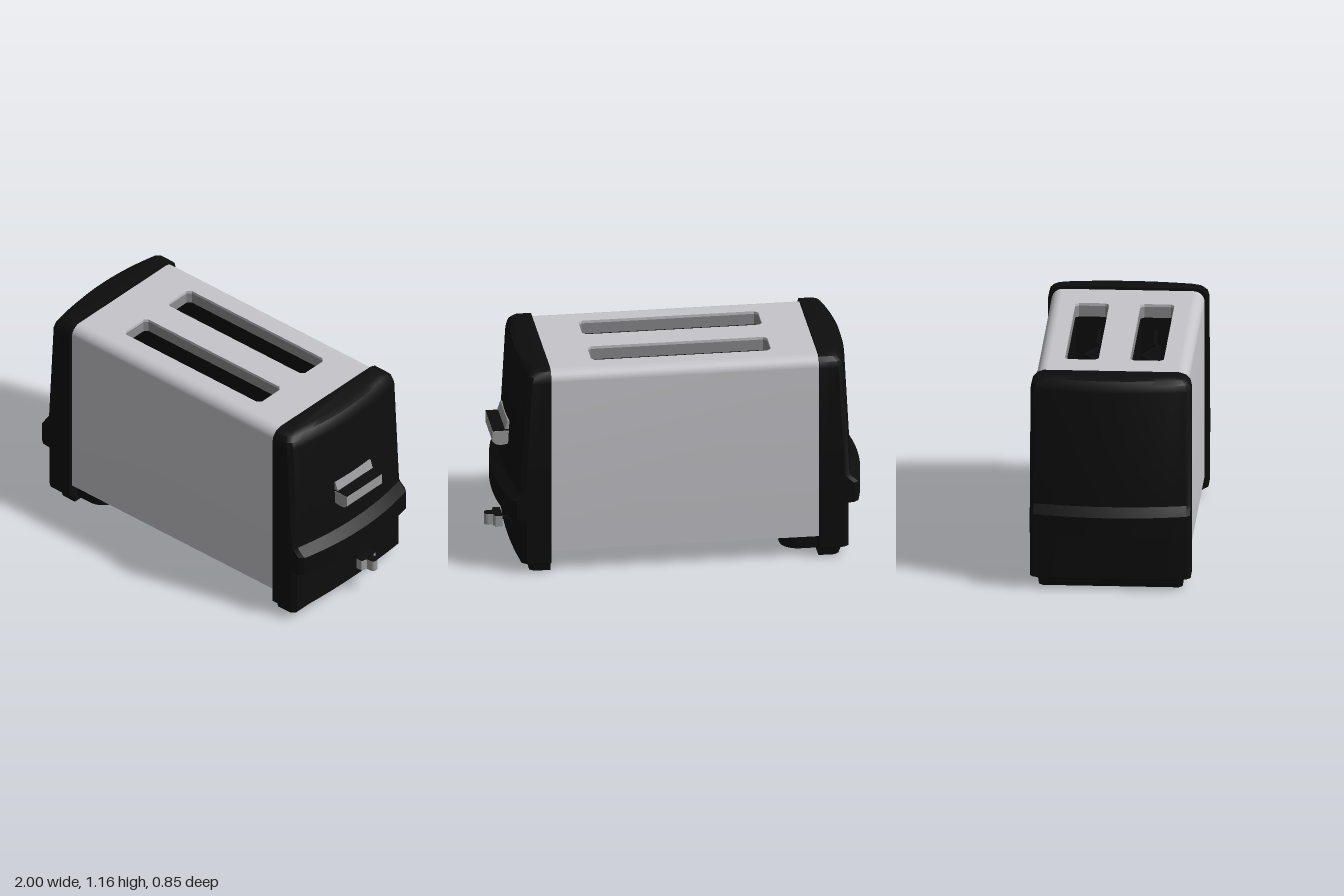
import * as THREE from 'three';
import { toCreasedNormals } from 'three/addons/utils/BufferGeometryUtils.js';

const mat = (name, color) => {
  const m = new THREE.MeshStandardMaterial({ color });
  m.name = name;
  return m;
};

export function createModel() {
  const model = new THREE.Group();
  model.name = 'toaster';
  const metal = mat('brushed metal', 0xc6c5ca);
  const grey = mat('inner grey', 0x8c8c8e);
  const trim = mat('control grey', 0x9a9a9c);
  const black = mat('black plastic', 0x0d0d0d);
  const CX = -0.025, LEN = 1.43;

  const add = (name, geo, material, parent = model) => {
    const mesh = new THREE.Mesh(geo, material);
    mesh.name = name;
    parent.add(mesh);
    return mesh;
  };
  // box given by its limits
  const box = (name, x0, x1, y0, y1, z0, z1, material, parent) => {
    const m = add(name, new THREE.BoxGeometry(x1 - x0, y1 - y0, z1 - z0), material, parent);
    m.position.set((x0 + x1) / 2, (y0 + y1) / 2, (z0 + z1) / 2);
    return m;
  };
  const extrude = (shape, depth) =>
    new THREE.ExtrudeGeometry(shape, { depth, bevelEnabled: false, curveSegments: 10 });
  const poly = (pts) => new THREE.Shape(pts.map(([x, y]) => new THREE.Vector2(x, y)));
  // shape drawn in (x, z), rising from y0 to y1
  const slab = (name, shape, y0, y1, material, parent) => {
    const g = extrude(shape, y1 - y0);
    g.rotateX(Math.PI / 2);
    g.translate(0, y1, 0);
    return add(name, toCreasedNormals(g, 0.6), material, parent);
  };

  // Metal side walls with rounded upper edge
  const wall = new THREE.Shape();
  wall.moveTo(0.405, 0.12);
  wall.lineTo(0.405, 1.085);
  wall.absarc(0.345, 1.085, 0.06, 0, Math.PI / 2, false);
  wall.lineTo(0.345, 1.13);
  wall.lineTo(0.39, 1.08);
  wall.lineTo(0.39, 0.12);
  for (const s of [1, -1]) {
    const g = extrude(wall, LEN);
    g.translate(0, 0, -LEN / 2);
    g.rotateY(s * Math.PI / 2);
    add('sideWall', toCreasedNormals(g, 0.6), metal).position.x = CX;
  }

  // Top plate with two chamfered bread slots
  const rect = (x0, x1, z0, z1) => poly([[x0, z0], [x1, z0], [x1, z1], [x0, z1]]);
  const slot = (z0, z1, c) => poly([
    [-0.505 + c, z0], [0.455 - c, z0], [0.455, z0 + c], [0.455, z1 - c],
    [0.455 - c, z1], [-0.505 + c, z1], [-0.505, z1 - c], [-0.505, z0 + c]]);
  const slots = [[-0.265, -0.085], [0.08, 0.26]];
  const top = rect(-0.74, 0.69, -0.345, 0.345);
  slots.forEach(([a, b]) => top.holes.push(slot(a, b, 0.02)));
  slab('topPlate', top, 1.13, 1.145, metal);

  // Slot lips, inner cage walls and corrugated guards
  const zigzag = [[-0.505, -0.1], [-0.46, -0.098], [-0.4, -0.075], [-0.26, -0.172], [-0.11, -0.092],
    [0.035, -0.185], [0.19, -0.108], [0.235, -0.13], [0.455, -0.138]];
  slots.forEach(([a, b], i) => {
    const lip = rect(-0.53, 0.48, a - 0.02, b + 0.02);
    lip.holes.push(slot(a, b, 0.02));
    slab('slotLip', lip, 1.07, 1.13, grey);
    for (const z of [a - 0.02, b + 0.01]) box('cageWall', -0.73, 0.68, 0.14, 1.07, z, z + 0.01, black);
    for (let k = 1; k < zigzag.length; k++) {
      const [x0, z0] = zigzag[k - 1], [x1, z1] = zigzag[k];
      const d = Math.hypot(x1 - x0, z1 - z0);
      const g = add('breadGuard', new THREE.BoxGeometry(d + 0.012, 0.8, 0.018), black);
      g.position.set((x0 + x1) / 2, 0.6, (z0 + z1) / 2 + (i ? 0.3 : 0));
      g.rotation.y = -Math.atan2(z1 - z0, x1 - x0);
    }
  });
  box('bottomPanel', -0.74, 0.69, 0.12, 0.132, -0.395, 0.395, grey);

  // End caps: stacked cross-sections [y, outer x, half width, bow]
  const rows = [
    [0, 0.825, 0.38, 0], [0.035, 0.835, 0.385, 0], [0.048, 0.85, 0.4, 0.01], [0.06, 0.892, 0.425, 0.02],
    [0.31, 0.892, 0.425, 0.02], [0.315, 0.975, 0.425, 0.05], [0.425, 0.975, 0.425, 0.05],
    [0.445, 0.95, 0.425, 0.05], [0.47, 0.922, 0.425, 0.045], [1.09, 0.888, 0.425, 0.045],
    [1.125, 0.878, 0.416, 0.045], [1.148, 0.86, 0.395, 0.045], [1.16, 0.825, 0.36, 0.03]];
  const pos = [], idx = [];
  const N = 12, ring = N + 5;
  for (const [y, xo, zh, bow] of rows) {
    pos.push(0.715, y, -zh, xo - bow - 0.025, y, -zh);
    for (let j = 0; j <= N; j++) {
      const t = (j / N) * 2 - 1;
      pos.push(xo - bow * t * t, y, (zh - 0.02) * t);
    }
    pos.push(xo - bow - 0.025, y, zh, 0.715, y, zh);
  }
  for (let i = 0; i < rows.length - 1; i++) {
    for (let j = 0; j < ring; j++) {
      const a = i * ring + j, b = i * ring + ((j + 1) % ring);
      idx.push(a, a + ring, b, b, a + ring, b + ring);
    }
  }
  const last = (rows.length - 1) * ring;
  for (let j = 1; j < ring - 1; j++) idx.push(0, j, j + 1, last, last + j + 1, last + j);
  const raw = new THREE.BufferGeometry();
  raw.setAttribute('position', new THREE.Float32BufferAttribute(pos, 3));
  raw.setIndex(idx);
  const capGeo = toCreasedNormals(raw, 0.5);
  for (const [name, turn] of [['rightEndCap', 0], ['leftEndCap', Math.PI]]) {
    const cap = add(name, capGeo, black);
    cap.position.x = CX;
    cap.rotation.y = turn;
  }

  // Lever with its track on the +x end
  const lever = new THREE.Group();
  lever.name = 'lever';
  model.add(lever);
  const handle = extrude(poly([[0.86, 0.64], [0.915, 0.63], [0.945, 0.633], [0.965, 0.65],
    [0.965, 0.71], [0.86, 0.71]]), 0.28);
  handle.translate(0, 0, -0.14);
  add('leverHandle', toCreasedNormals(handle, 0.5), trim, lever);
  box('leverTop', 0.86, 0.964, 0.71, 0.714, -0.138, 0.138, black, lever);
  const back = extrude(poly([[0.86, 0.72], [0.9, 0.72], [0.885, 0.765], [0.86, 0.765]]), 0.28);
  back.translate(0, 0, -0.14);
  add('leverBackPlate', back, trim, lever);
  for (const z of [-0.013, 0.013]) {
    const rail = box('leverTrack', 0.87, 0.884, 0.47, 0.95, z - 0.004, z + 0.004, black);
    rail.rotation.z = 0.055;
  }

  // Browning control: stem and winged knob
  box('knobStem', 0.85, 0.92, 0.17, 0.185, -0.065, -0.045, black);
  box('knobSlot', 0.862, 0.87, 0.172, 0.188, -0.15, 0.15, black);
  const knob = new THREE.Shape();
  knob.moveTo(0.908, 0);
  knob.lineTo(0.908, -0.11);
  knob.lineTo(0.945, -0.11);
  knob.lineTo(0.955, -0.078);
  knob.lineTo(0.978, -0.077);
  knob.absarc(0.978, -0.055, 0.022, -Math.PI / 2, Math.PI / 2, false);
  knob.lineTo(0.955, -0.032);
  knob.lineTo(0.945, 0);
  slab('knob', knob, 0.147, 0.209, trim);
  slab('knobTop', knob, 0.209, 0.213, black);

  // Cord wrap beneath the -x end: two rounded lobes on a bridge
  for (const z of [-0.2, 0.22]) {
    const lobe = new THREE.Shape();
    lobe.moveTo(-0.86, z - 0.14);
    lobe.lineTo(-0.65, z - 0.14);
    lobe.absarc(-0.65, z - 0.04, 0.1, -Math.PI / 2, 0, false);
    lobe.absarc(-0.65, z + 0.04, 0.1, 0, Math.PI / 2, false);
    lobe.lineTo(-0.86, z + 0.14);
    slab('cordWrapLobe', lobe, 0.027, 0.12, black);
  }
  box('cordWrapBridge', -0.76, -0.66, 0.06, 0.12, -0.1, 0.12, black);

  return model;
}
